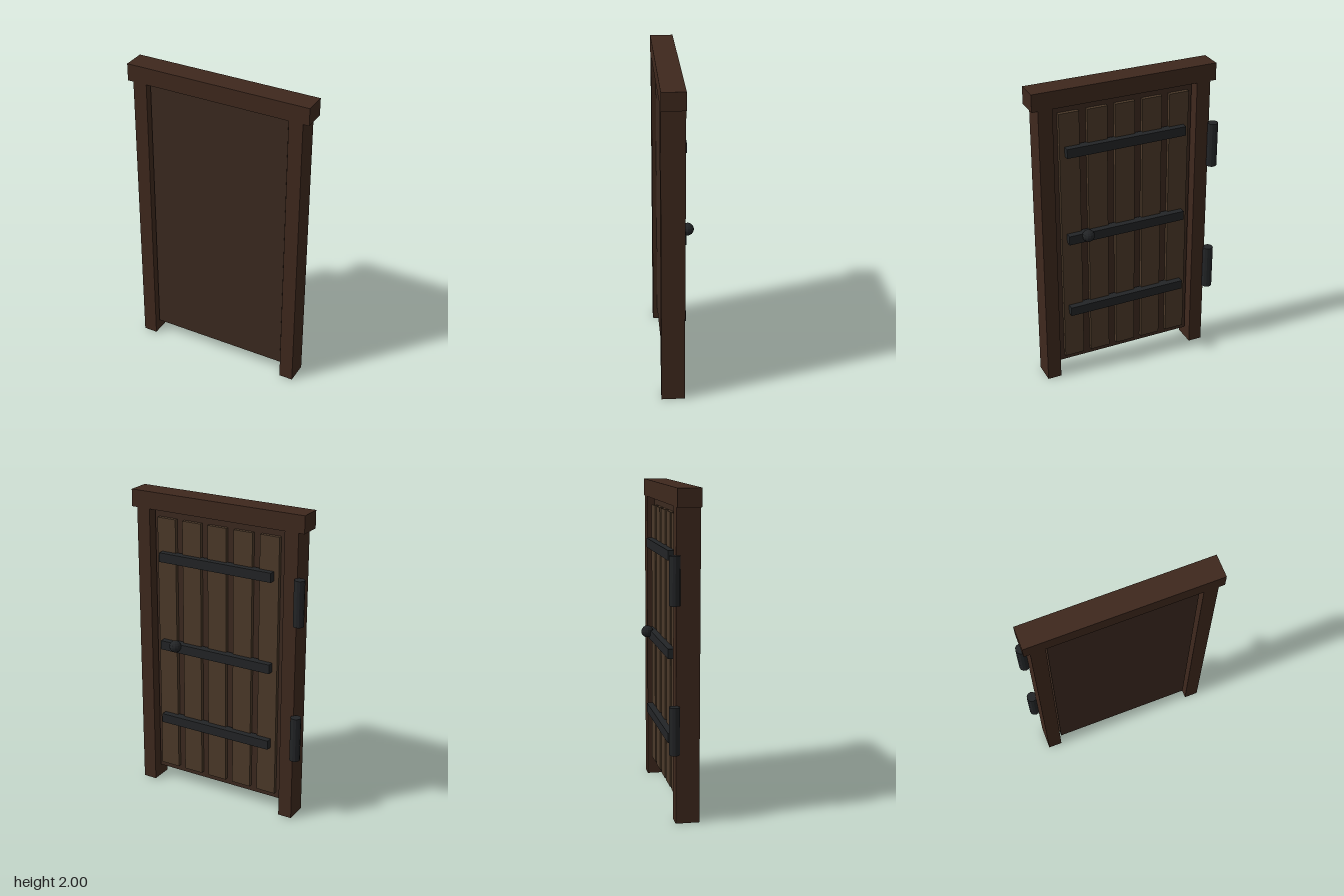
import * as THREE from 'three';

const wood = new THREE.MeshStandardMaterial({ color: 0x3e281d });
const panelWood = new THREE.MeshStandardMaterial({ color: 0x3b291f });
const plankWood = new THREE.MeshStandardMaterial({ color: 0x4b3929 });
const iron = new THREE.MeshStandardMaterial({ color: 0x222426, flatShading: true });

export function createModel() {
  const group = new THREE.Group();
  const cx = 0.006; // centre line of the door and frame

  function add(name, geometry, material, x, y, z) {
    const mesh = new THREE.Mesh(geometry, material);
    mesh.name = name;
    mesh.position.set(x, y, z);
    group.add(mesh);
  }

  // Box given by its centre x, width, and y and z ranges
  function addBox(name, material, x, width, y0, y1, z0, z1) {
    add(name, new THREE.BoxGeometry(width, y1 - y0, z1 - z0), material,
      x, (y0 + y1) / 2, (z0 + z1) / 2);
  }

  // Frame
  addBox('rightPost', wood, cx - 0.516, 0.09, 0, 1.89, -0.037, 0.107);
  addBox('leftPost', wood, cx + 0.516, 0.09, 0, 1.89, -0.037, 0.107);
  addBox('lintel', wood, cx, 1.198, 1.89, 2, -0.037, 0.107);

  // Door leaf
  addBox('doorPanel', panelWood, cx, 0.916, 0.09, 1.89, 0.01, 0.08);

  // Raised planks on the back
  for (let i = -2; i <= 2; i++) {
    addBox('plank', plankWood, cx + i * 0.181, 0.13, 0.13, 1.84, -0.015, 0.02);
  }

  // Iron straps across the planks
  for (const y of [0.485, 1.005, 1.595]) {
    addBox('ironStrap', iron, cx, 0.788, y - 0.03, y + 0.03, -0.055, 0);
  }

  // Hinge barrels
  for (const y of [0.58, 1.47]) {
    add('hingeBarrel', new THREE.CylinderGeometry(0.033, 0.033, 0.29, 12), iron, -0.577, y, -0.05);
  }

  // Door knob
  add('doorKnob', new THREE.SphereGeometry(0.039, 12, 8), iron, 0.28, 1.025, -0.071);

  return group;
}
